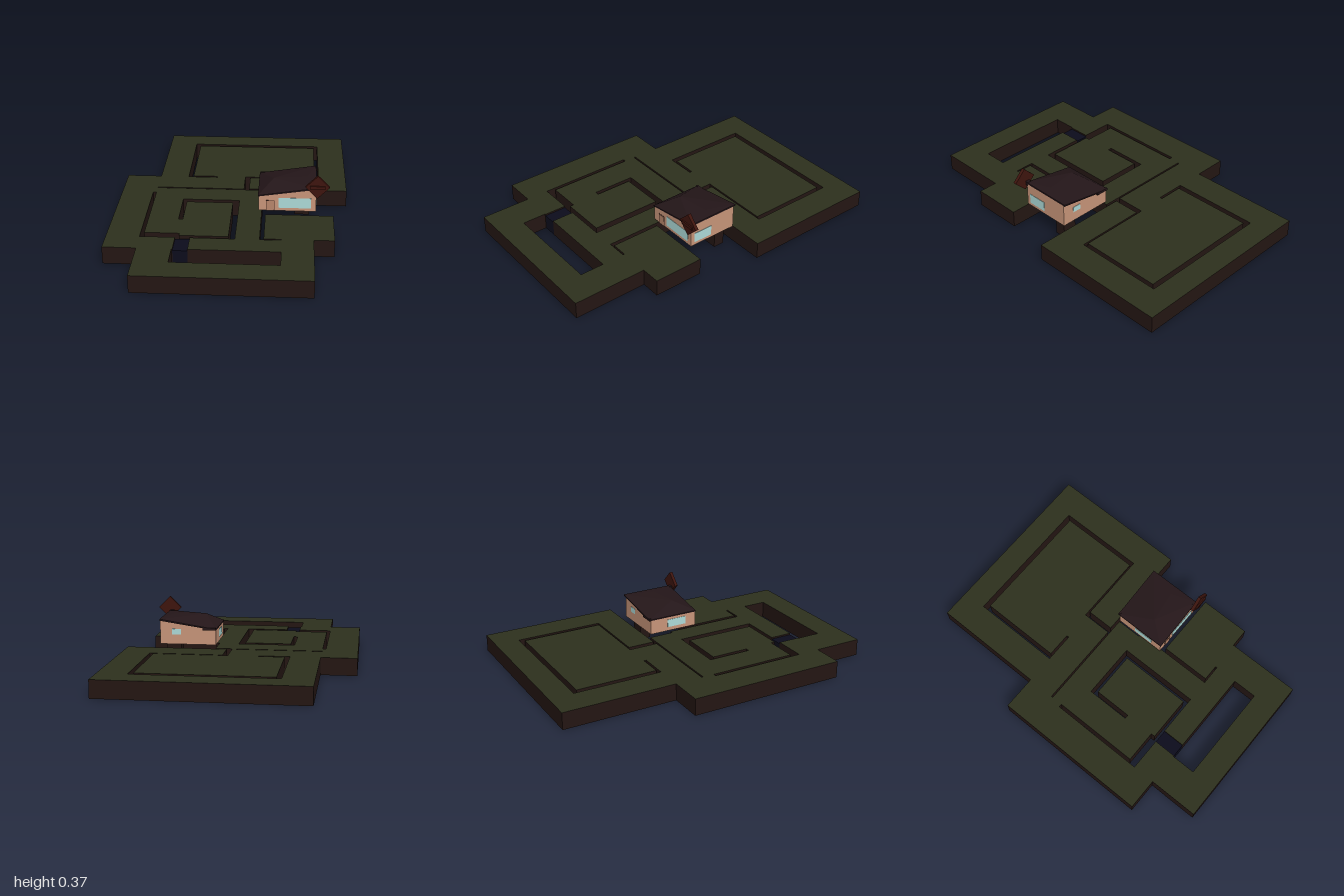
import * as THREE from 'three';
import { ConvexGeometry } from 'three/addons/geometries/ConvexGeometry.js';

const mat = (color, extra = {}) => new THREE.MeshStandardMaterial({ color, ...extra });

export function createModel() {
  const model = new THREE.Group();
  const grass = mat(0x2d301d), soil = mat(0x241613), water = mat(0x0c0c1c);
  const plaster = mat(0xc9967a), doorMat = mat(0xb9876c), frame = mat(0x4a2c22);
  const glass = mat(0xaedcd9), tile = mat(0x241619), wood = mat(0x3f150e);

  // box given by its extents on each axis
  function box(parent, name, material, x0, x1, y0, y1, z0, z1) {
    const mesh = new THREE.Mesh(new THREE.BoxGeometry(x1 - x0, y1 - y0, z1 - z0), material);
    mesh.position.set((x0 + x1) / 2, (y0 + y1) / 2, (z0 + z1) / 2);
    mesh.name = name;
    parent.add(mesh);
    return mesh;
  }

  // terrain slabs: x0, x1, z0, z1, leaving narrow channels between them
  const top = 0.105;
  const slabs = [
    // back plateau and its inner island
    [-0.49, 0.705, -1, -0.85],
    [-0.49, -0.31, -0.85, -0.295],
    [0.53, 0.705, -0.85, -0.3],
    [0.09, 0.705, -0.3, -0.13],
    [-0.28, 0.505, -0.82, -0.31],
    [-0.125, 0.058, -0.31, -0.295],
    // left arm
    [-0.705, 0.058, -0.295, -0.125],
    [-0.705, -0.51, -0.125, 0.55],
    [-0.51, -0.49, -0.125, -0.045],
    // middle spiral
    [-0.49, 0.16, -0.115, 0.043],
    [-0.49, -0.31, 0.043, 0.5],
    [-0.31, -0.285, 0.315, 0.5],
    [-0.285, 0, 0.078, 0.525],
    [0.038, 0.18, 0.043, 0.55],
    // yard in front of the house
    [0.203, 0.61, 0.225, 0.54],
    [0.305, 0.49, 0.54, 0.84],
    // front row and the frame round the open pit
    [-0.705, -0.305, 0.55, 0.69],
    [-0.22, 0.305, 0.55, 0.69],
    [-0.51, -0.31, 0.69, 0.84],
    [-0.51, 0.49, 0.84, 1],
  ];
  const ground = new THREE.Group();
  ground.name = 'terrain';
  for (const [x0, x1, z0, z1] of slabs)
    box(ground, 'groundSlab', [soil, soil, grass, soil, soil, soil], x0, x1, 0, top, z0, z1);
  box(ground, 'channelLink', soil, 0.34, 0.505, 0, 0.09, -0.31, -0.3);
  box(ground, 'waterChannel', water, -0.305, -0.22, 0, 0.095, 0.55, 0.69);
  model.add(ground);

  const house = new THREE.Group();
  house.name = 'house';
  model.add(house);

  // post that carries the house
  box(house, 'supportPost', soil, 0.38, 0.47, 0, 0.126, -0.07, 0);

  // walls rise from left to right
  const profile = new THREE.Shape([[0.16, 0.125], [0.505, 0.125], [0.505, 0.275], [0.16, 0.222]]
    .map(([x, y]) => new THREE.Vector2(x, y)));
  const walls = new THREE.Mesh(
    new THREE.ExtrudeGeometry(profile, { depth: 0.32, bevelEnabled: false }), plaster);
  walls.position.z = -0.11;
  walls.name = 'walls';
  house.add(walls);

  // hipped roof with a short ridge
  const roofPoints = [];
  for (const z of [-0.122, 0.214])
    roofPoints.push([0.157, 0.217, z], [0.157, 0.224, z], [0.507, 0.27, z], [0.507, 0.28, z]);
  roofPoints.push([0.25, 0.286, 0.09], [0.45, 0.286, 0.06]);
  const roof = new THREE.Mesh(
    new ConvexGeometry(roofPoints.map(p => new THREE.Vector3(...p))), mat(0x241619, { flatShading: true }));
  roof.name = 'roof';
  house.add(roof);
  box(house, 'backEave', tile, 0.16, 0.24, 0.217, 0.232, -0.122, -0.11);

  // windows on all four sides
  box(house, 'frontWindow', glass, 0.28, 0.475, 0.145, 0.21, 0.205, 0.212);
  box(house, 'sideWindow', glass, 0.5, 0.507, 0.145, 0.207, 0.06, 0.185);
  box(house, 'sideWindow', glass, 0.158, 0.165, 0.15, 0.2, 0.01, 0.14);
  box(house, 'backWindow', glass, 0.375, 0.43, 0.185, 0.22, -0.112, -0.105);

  // front door in a thin frame
  box(house, 'doorFrame', frame, 0.206, 0.257, 0.125, 0.192, 0.205, 0.2115);
  box(house, 'door', doorMat, 0.21, 0.253, 0.125, 0.188, 0.206, 0.213);

  // diamond sign on the front right corner
  const sign = new THREE.Group();
  sign.name = 'sign';
  sign.position.set(0.51, 0.297, 0.231);
  const board = box(sign, 'signBoard', wood, -0.051, 0.051, -0.051, 0.051, -0.01, 0.01);
  board.rotation.z = Math.PI / 4;
  box(sign, 'signBar', wood, -0.045, 0.045, -0.01, 0.01, 0.01, 0.018);
  box(sign, 'signBracket', tile, -0.03, -0.005, -0.04, -0.015, -0.03, -0.01);
  model.add(sign);

  return model;
}
